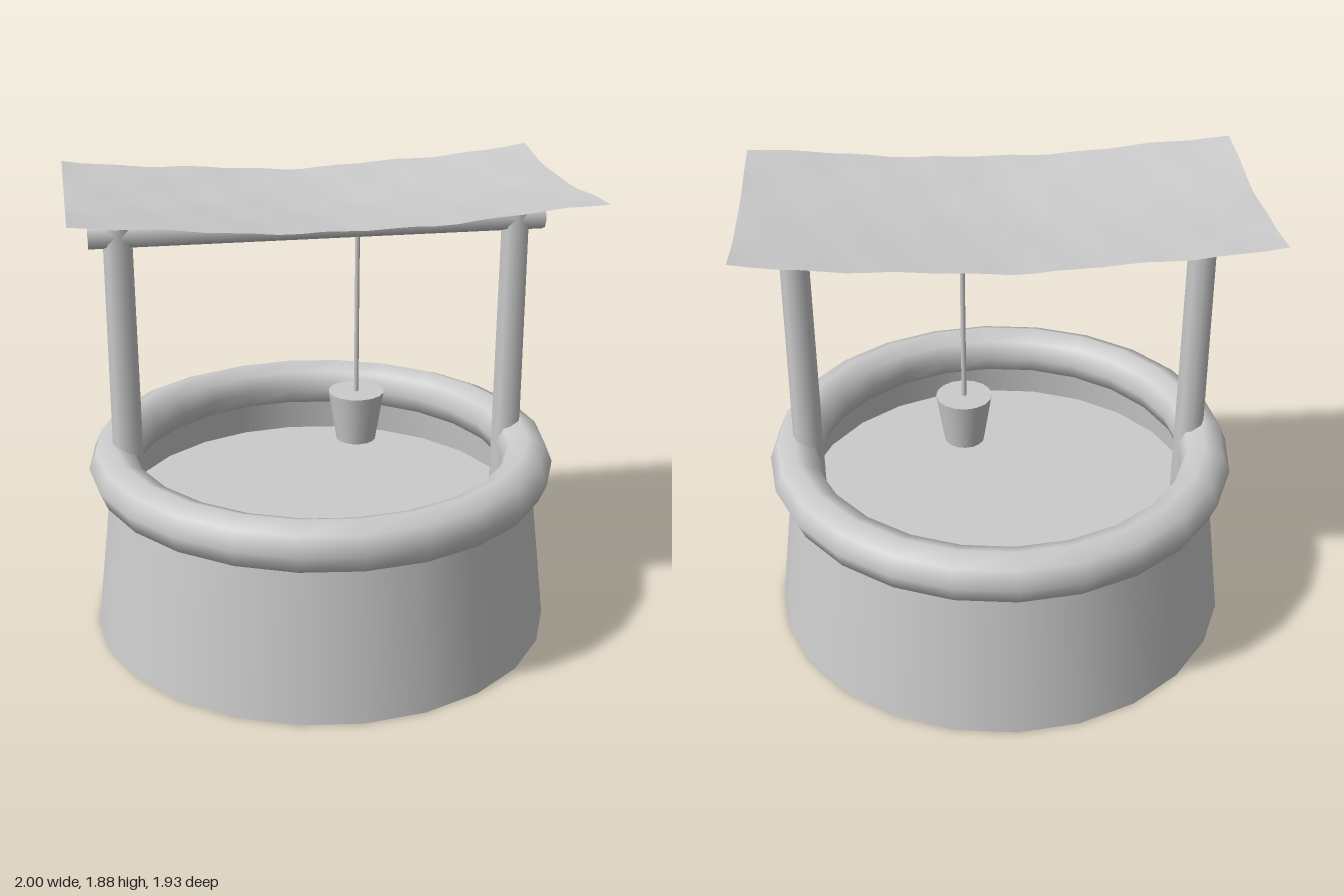
import * as THREE from 'three';

const grey = new THREE.MeshStandardMaterial({ color: 0xcccccc });
const thin = new THREE.MeshStandardMaterial({ color: 0xcccccc, side: THREE.DoubleSide });

export function createModel() {
  const group = new THREE.Group();
  const add = (name, geometry, x = 0, y = 0, z = 0, material = grey) => {
    const mesh = new THREE.Mesh(geometry, material);
    mesh.name = name;
    mesh.position.set(x, y, z);
    group.add(mesh);
    return mesh;
  };
  // Upright cylinder given by its lower and upper heights
  const column = (name, rTop, rBottom, y0, y1, sides, x = 0) =>
    add(name, new THREE.CylinderGeometry(rTop, rBottom, y1 - y0, sides), x, (y0 + y1) / 2);

  // Tapered wall, open at both ends
  add('wall', new THREE.CylinderGeometry(0.875, 0.962, 0.72, 24, 1, true), 0, 0.36, 0, thin);

  // Rounded rim
  add('rim', new THREE.TorusGeometry(0.862, 0.105, 8, 24).rotateX(Math.PI / 2), 0, 0.713);

  // Filling inside the wall
  column('water', 0.843, 0.843, 0.077, 0.487, 24);

  // Two posts and the beam through their tops
  for (const side of [-1, 1]) {
    column(side > 0 ? 'leftPost' : 'rightPost', 0.057, 0.065, 0.01, 1.772, 8, side * 0.805);
  }
  add('beam', new THREE.CylinderGeometry(0.052, 0.052, 1.84, 8).rotateZ(Math.PI / 2), 0, 1.697);

  // Rope and bucket
  column('rope', 0.01, 0.01, 0.97, 1.69, 8, 0.15);
  column('bucket', 0.116, 0.082, 0.775, 0.985, 16, 0.15);

  // Sagging cloth roof with slight ripples
  const cloth = new THREE.PlaneGeometry(2, 1.074, 24, 14).rotateX(-Math.PI / 2);
  const p = cloth.attributes.position;
  for (let i = 0; i < p.count; i++) {
    const x = p.getX(i), z = p.getZ(i);
    const sag = 0.065 * Math.abs(x) ** 1.5 + 0.037 * (Math.abs(z) / 0.537) ** 1.5;
    const ripple = 0.004 * Math.sin(9 * x + 14 * z) + 0.003 * Math.sin(21 * x - 8 * z + 1);
    p.setY(i, 1.776 + sag + ripple);
  }
  cloth.computeVertexNormals();
  add('roof', cloth, 0, 0, 0, thin);

  return group;
}
